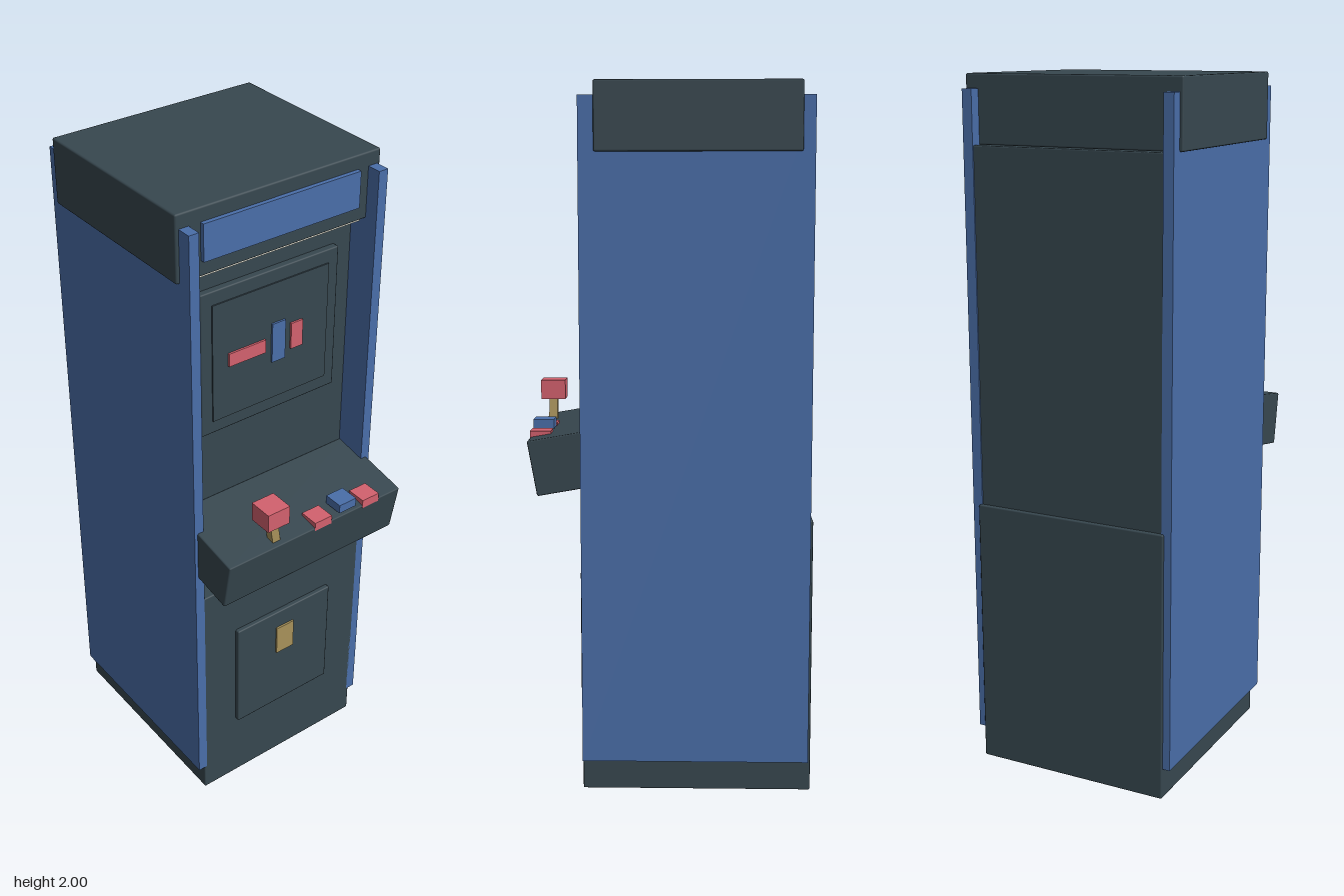
import * as THREE from 'three';
import { RoundedBoxGeometry } from 'three/addons/geometries/RoundedBoxGeometry.js';

const material = (name, color) => {
  const m = new THREE.MeshStandardMaterial({ color });
  m.name = name;
  return m;
};

export function createModel() {
  const model = new THREE.Group();
  model.name = 'arcadeCabinet';

  const charcoal = material('charcoal', 0x37474f);
  const blue = material('blue', 0x4a6ea9);
  const red = material('red', 0xd3616e);
  const brass = material('brass', 0xa8925a);
  const pale = material('paleLight', 0xe4e2d4);

  // Box given by its extents on each axis; a bevel softens the edges
  const box = (name, mat, [x0, x1], [y0, y1], [z0, z1], bevel = 0) => {
    const size = [x1 - x0, y1 - y0, z1 - z0];
    const geometry = bevel
      ? new RoundedBoxGeometry(...size, 1, bevel)
      : new THREE.BoxGeometry(...size);
    const mesh = new THREE.Mesh(geometry, mat);
    mesh.name = name;
    mesh.position.set((x0 + x1) / 2, (y0 + y1) / 2, (z0 + z1) / 2);
    model.add(mesh);
    return mesh;
  };

  // Cabinet body
  box('lowerBody', charcoal, [-0.295, 0.295], [0, 0.79], [-0.403, 0.25], 0.004);
  box('upperBody', charcoal, [-0.29, 0.29], [0.78, 1.81], [-0.392, 0.15], 0.004);
  for (const s of [-1, 1]) {
    const panel = box('sidePanel', blue, [-0.015, 0.015], [0.09, 1.96], [-0.395, 0.25]);
    panel.position.x = s * 0.302;
  }

  // Marquee hood, lit sign and lamp strip beneath it
  box('marqueeHood', charcoal, [-0.327, 0.327], [1.81, 2], [-0.361, 0.207], 0.005);
  box('marqueeSign', blue, [-0.252, 0.252], [1.855, 1.96], [0.205, 0.22]);
  box('lampStrip', pale, [-0.287, 0.287], [1.794, 1.812], [0.15, 0.185]);

  // Screen with its blocky game picture
  box('screenBezel', charcoal, [-0.23, 0.23], [1.29, 1.73], [0.14, 0.17], 0.004);
  box('screen', charcoal, [-0.195, 0.195], [1.33, 1.69], [0.16, 0.174]);
  box('screenBlock', red, [-0.145, -0.022], [1.49, 1.53], [0.172, 0.18]);
  box('screenBlock', blue, [0, 0.045], [1.45, 1.57], [0.172, 0.18]);
  box('screenBlock', red, [0.065, 0.105], [1.47, 1.55], [0.172, 0.18]);

  // Control deck, sloping down toward the player
  const tilt = THREE.MathUtils.degToRad(10);
  const deck = box('controlDeck', charcoal, [-0.307, 0.307], [-0.158, 0], [-0.255, 0], 0.004);
  const centre = new THREE.Vector3(0, -0.079, -0.1275)
    .applyAxisAngle(new THREE.Vector3(1, 0, 0), tilt);
  deck.rotation.x = tilt;
  deck.position.set(0, 1.015 + centre.y, 0.4 + centre.z);

  // Joystick
  const stick = box('joystickStick', brass, [-0.152, -0.126], [1.01, 1.1], [0.357, 0.383]);
  stick.rotation.z = 0.16;
  box('joystickKnob', red, [-0.181, -0.107], [1.085, 1.143], [0.331, 0.405]);

  // Buttons
  [[0.021, 1.006, red], [0.109, 1.028, blue], [0.196, 1.006, red]].forEach(([x, y, mat]) =>
    box('button', mat, [x - 0.03, x + 0.03], [y, y + 0.027], [0.34, 0.4]));

  // Coin door
  box('coinDoor', charcoal, [-0.175, 0.175], [0.235, 0.61], [0.24, 0.264], 0.004);
  box('coinPlate', brass, [-0.032, 0.032], [0.45, 0.55], [0.262, 0.27]);

  return model;
}
